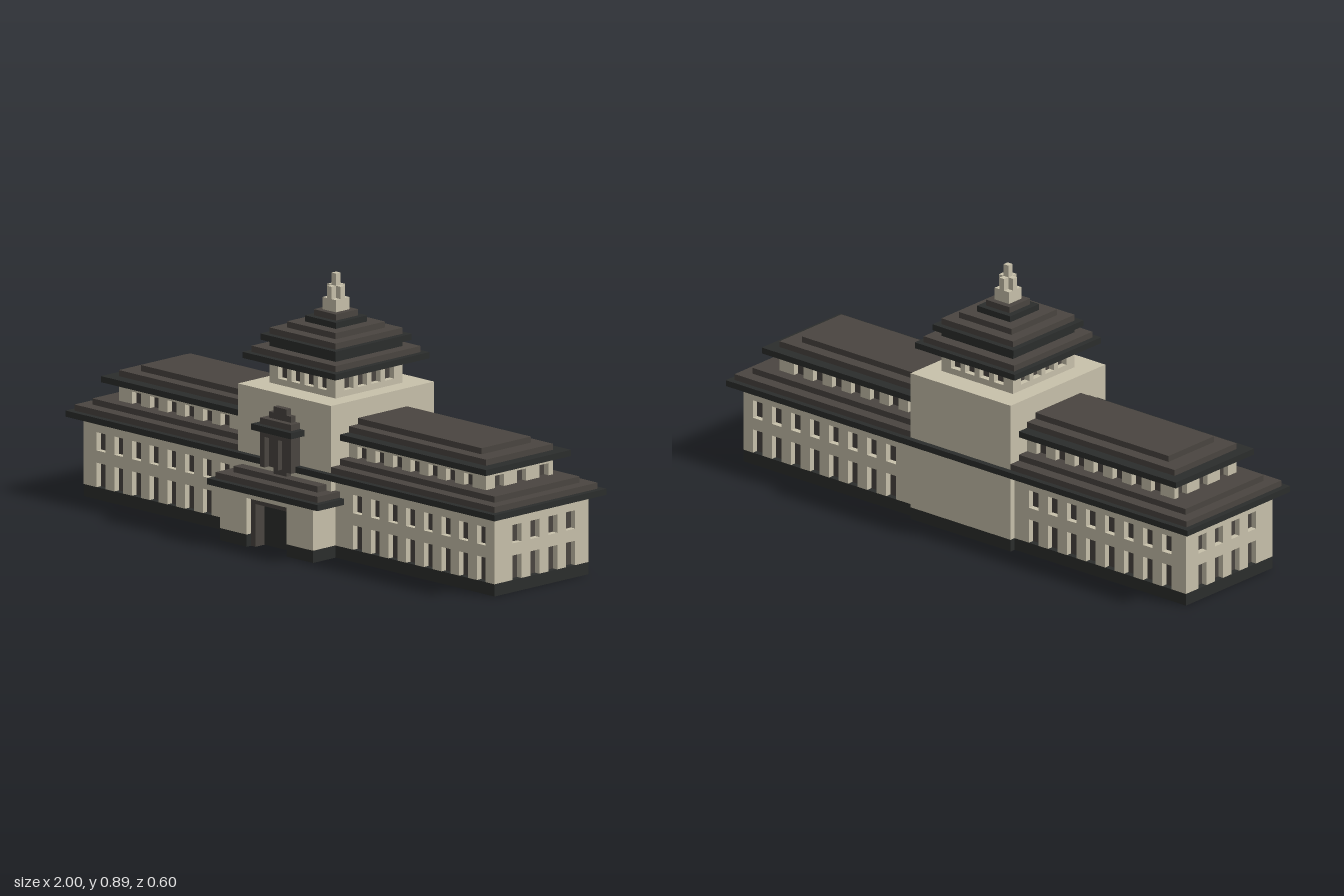
import * as THREE from 'three';
import { mergeGeometries } from 'three/addons/utils/BufferGeometryUtils.js';

const U = 2 / 97; // grid unit: plan is 97 wide, 29 deep

const material = (name, color) => {
  const m = new THREE.MeshStandardMaterial({ color });
  m.name = name;
  return m;
};

// Block from grid ranges: x from the -x end, d as depth back from the front, y up
function block([x0, x1], [d0, d1], [y0, y1]) {
  const g = new THREE.BoxGeometry((x1 - x0) * U, (y1 - y0) * U, (d1 - d0) * U);
  g.translate(((x0 + x1) / 2 - 48.5) * U, ((y0 + y1) / 2) * U, (14.5 - (d0 + d1) / 2) * U);
  return g;
}

const series = (start, count, step) => Array.from({ length: count }, (_, i) => start + i * step);

// Solid stretches of [a, b] left between two-unit-wide windows
function piers(a, b, windows) {
  const out = [];
  let from = a;
  for (const w of windows) {
    out.push([from, w]);
    from = w + 2;
  }
  out.push([from, b]);
  return out;
}

export function createModel() {
  const stone = material('pale stone', 0xc8c1ab);
  const brown = material('brown tile', 0x4a4540);
  const dark = material('dark slate', 0x2b2d2c);
  const model = new THREE.Group();
  model.name = 'building';

  const add = (name, mat, ...blocks) => {
    const mesh = new THREE.Mesh(blocks.length > 1 ? mergeGeometries(blocks) : blocks[0], mat);
    mesh.name = name;
    model.add(mesh);
  };

  // Storey with one-unit-deep windows on all four sides
  function storey(name, x, d, solidRows, windowRows, xs, ds) {
    const walls = solidRows.map((y) => block(x, d, y));
    const panes = [];
    for (const y of windowRows) {
      panes.push(block([x[0] + 1, x[1] - 1], [d[0] + 1, d[1] - 1], y));
      for (const p of piers(x[0], x[1], xs)) {
        walls.push(block(p, [d[0], d[0] + 1], y), block(p, [d[1] - 1, d[1]], y));
      }
      for (const p of piers(d[0] + 1, d[1] - 1, ds)) {
        walls.push(block([x[0], x[0] + 1], p, y), block([x[1] - 1, x[1]], p, y));
      }
    }
    add(name + 'Walls', stone, ...walls);
    add(name + 'Windows', brown, ...panes);
  }

  // Roof step on both wings, stopping at the tower
  const wingTier = (name, mat, inset, d, y) =>
    add(name, mat, block([inset, 38], d, y), block([59, 97 - inset], d, y));

  // Plinth
  add('plinth', dark,
    block([2, 95], [6, 27], [0, 2]),
    block([38, 59], [5, 6], [0, 2]),
    block([38, 59], [27, 28], [0, 2]),
    block([38, 44], [1, 5], [0, 2]),
    block([53, 59], [1, 5], [0, 2]));

  // Lower storey and its roof
  storey('lowerStorey', [2, 95], [6, 27], [[6, 8], [11, 13]], [[2, 6], [8, 11]],
    [...series(5, 8, 4), ...series(63, 8, 4)], series(10, 4, 4));
  add('lowerEave', dark, block([0, 97], [4, 29], [13, 14]));
  wingTier('lowerRoofStep', brown, 1, [5, 28], [14, 15]);
  wingTier('lowerRoofTop', brown, 3, [7, 26], [15, 16]);

  // Upper storey and its roof
  storey('upperStorey', [7, 90], [9, 24], [[18, 19]], [[16, 18]],
    [...series(10, 7, 4), ...series(61, 7, 4)], series(11, 3, 5));
  wingTier('upperEave', dark, 5, [7, 26], [19, 20]);
  wingTier('upperRoofStep', brown, 7, [9, 24], [20, 21]);
  wingTier('upperRoofTop', brown, 10, [11, 22], [21, 22]);

  // Tower and belfry
  add('tower', stone, block([38, 59], [5, 28], [2, 25]));
  storey('belfry', [41, 56], [9, 24], [[25, 26]], [[26, 29]],
    series(43, 4, 3), series(11, 4, 3));

  // Stepped tower roof: width and colour of each layer, bottom to top
  const layers = [[21, dark], [19, brown], [15, dark], [17, dark],
    [15, brown], [11, brown], [7, dark], [5, brown]];
  layers.forEach(([w, mat], i) => add('towerRoofLayer', mat,
    block([48.5 - w / 2, 48.5 + w / 2], [16.5 - w / 2, 16.5 + w / 2], [29 + i, 30 + i])));

  // Spire
  add('spire', stone,
    block([47, 50], [15, 18], [37, 39]),
    block([47, 50], [16, 17], [39, 41]),
    block([48, 49], [15, 16], [39, 41]),
    block([48, 49], [17, 18], [39, 41]),
    block([48, 49], [16, 17], [41, 43]));

  // Entrance porch
  add('porchWalls', stone,
    block([38, 44], [1, 5], [2, 9]),
    block([53, 59], [1, 5], [2, 9]),
    block([44, 53], [1, 5], [8, 9]));
  add('doorFrame', brown,
    block([44, 45], [2, 5], [0, 8]),
    block([52, 53], [2, 5], [0, 8]),
    block([45, 52], [2, 5], [7, 8]));
  add('door', dark, block([45, 52], [4, 5], [0, 7]));
  add('porchEave', dark, block([36, 61], [0, 6], [9, 10]));
  add('porchRoof', brown,
    block([37, 60], [1, 6], [10, 11]),
    block([39, 58], [3, 5], [11, 12]),
    block([47, 50], [4, 5], [12, 13]));

  // Gable bay over the porch, with two niches
  add('bay', brown,
    block([45, 52], [4, 5], [13, 19]),
    block([45, 52], [3, 4], [18, 19]),
    ...piers(45, 52, [46, 49]).map((p) => block(p, [3, 4], [13, 18])));
  add('bayEave', dark, block([44, 53], [2, 5], [19, 20]));
  add('bayRoof', brown,
    block([45, 52], [3, 5], [20, 21]),
    block([46, 51], [4, 5], [21, 22]),
    block([47, 50], [4, 5], [22, 23]));

  return model;
}
